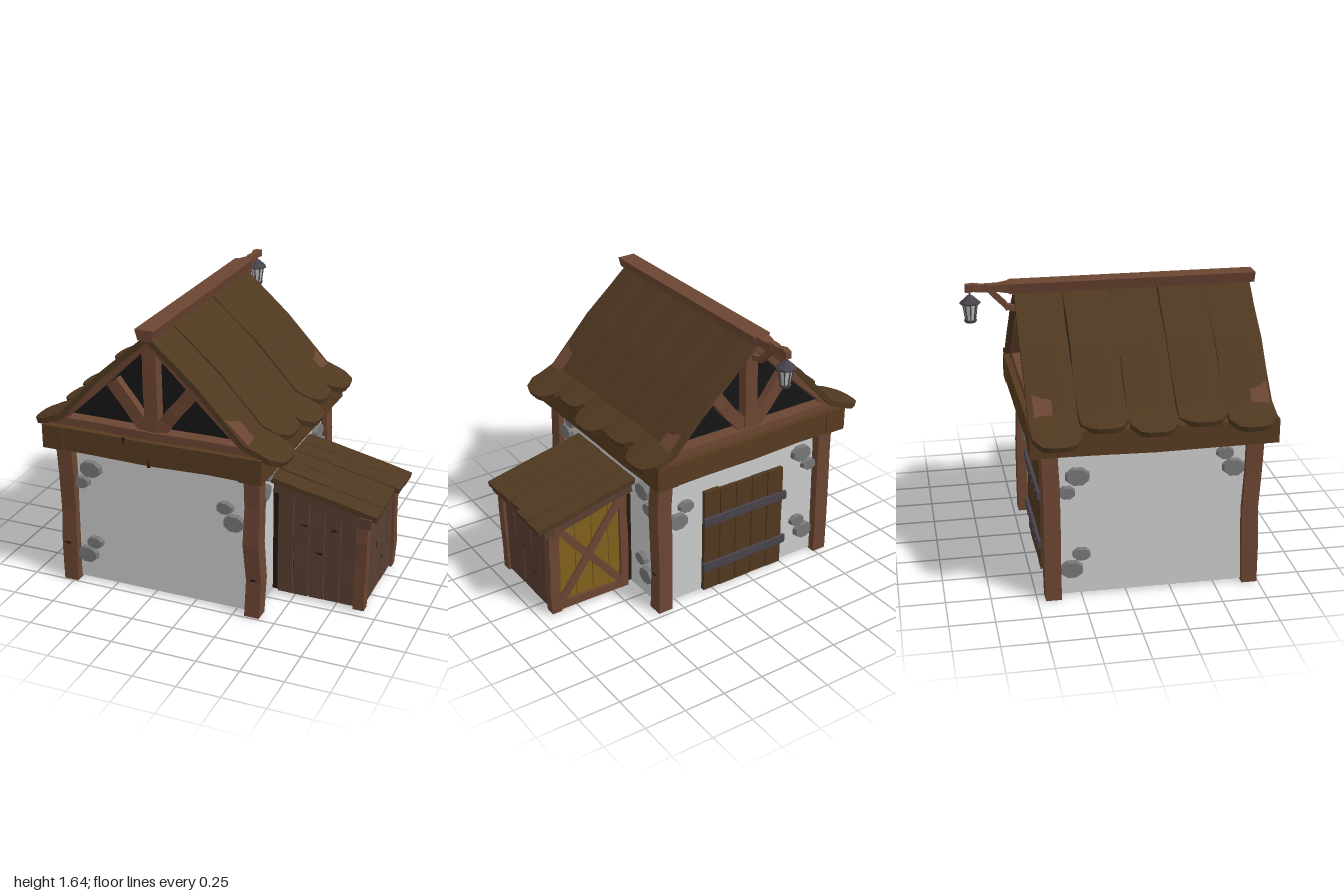
import * as THREE from 'three';

const mat = (color, extra = {}) => new THREE.MeshStandardMaterial({ color, flatShading: true, ...extra });
const M = {
  wall: mat(0xcccccc), stone: mat(0x777777), post: mat(0x6b4532), beam: mat(0x573a20), roof: mat(0x4f3820),
  plank: mat(0x593e32), dark: mat(0x161616), yellow: mat(0x80601c), iron: mat(0x48424a), door: mat(0x50381f),
  glass: mat(0xbbbbbb), crack: mat(0x24170e),
};
const CX = -0.21, CZ = 0.145; // centre of the main house

let seed = 7;
const rnd = () => { seed = (seed * 16807) % 2147483647; return seed / 2147483647 - 0.5; };

export function createModel() {
  const root = new THREE.Group();
  root.name = 'cottage';

  const add = (name, geo, material, x = 0, y = 0, z = 0, parent = root) => {
    const m = new THREE.Mesh(geo, material);
    m.name = name;
    m.position.set(x, y, z);
    parent.add(m);
    return m;
  };
  const box = (name, material, x0, x1, y0, y1, z0, z1) =>
    add(name, new THREE.BoxGeometry(x1 - x0, y1 - y0, z1 - z0), material, (x0 + x1) / 2, (y0 + y1) / 2, (z0 + z1) / 2);

  // Hewn timber from a to b, each ring of corners nudged a little
  const timber = (name, a, b, w, d, material, wobble = 0.008) => {
    const A = new THREE.Vector3(...a), B = new THREE.Vector3(...b);
    const len = A.distanceTo(B), n = 4;
    const g = new THREE.BoxGeometry(w, len, d, 1, n, 1), p = g.attributes.position;
    const rings = Array.from({ length: n + 1 }, () => [rnd() * 2 * wobble, rnd() * 2 * wobble, 1 + rnd() * wobble * 8]);
    for (let i = 0; i < p.count; i++) {
      const [dx, dz, s] = rings[Math.round((p.getY(i) / len + 0.5) * n)];
      p.setX(i, p.getX(i) * s + dx);
      p.setZ(i, p.getZ(i) * s + dz);
    }
    g.computeVertexNormals();
    const m = add(name, g, material);
    m.position.copy(A).add(B).multiplyScalar(0.5);
    m.quaternion.setFromUnitVectors(new THREE.Vector3(0, 1, 0), B.sub(A).normalize());
    return m;
  };

  // Walls and corner posts
  box('walls', M.wall, -0.78, 0.365, 0.012, 0.96, -0.41, 0.69);
  for (const x of [-0.775, 0.36]) for (const z of [-0.42, 0.695])
    timber('cornerPost', [x, 0, z], [x, 0.9, z], 0.09, 0.09, M.post, 0.011);

  // Ring of beams on top of the walls
  for (const z of [-0.455, 0.745]) timber('endBeam', [-0.86, 0.934, z], [0.445, 0.934, z], 0.135, 0.14, M.beam, 0.006);
  for (const x of [-0.79, 0.38]) timber('sideBeam', [x, 0.932, -0.53], [x, 0.932, 0.82], 0.13, 0.14, M.beam, 0.006);

  // Dark attic with timber trusses at both gables
  const tri = new THREE.Shape([[-0.57, 0.99], [0.57, 0.99], [0, 1.57]].map(([x, y]) => new THREE.Vector2(x, y)));
  add('attic', new THREE.ExtrudeGeometry(tri, { depth: 1.11, bevelEnabled: false }), M.dark, CX, 0, -0.41);
  for (const z of [-0.445, 0.735]) {
    timber('tieBeam', [CX - 0.57, 1.02, z], [CX + 0.57, 1.02, z], 0.055, 0.09, M.post, 0.003);
    timber('kingPost', [CX, 1.02, z], [CX, 1.57, z], 0.08, 0.07, M.post, 0.004);
    for (const s of [-1, 1]) {
      timber('rafter', [CX + s * 0.59, 1.01, z], [CX, 1.575, z], 0.055, 0.1, M.post, 0.003);
      timber('strut', [CX + s * 0.03, 1.04, z], [CX + s * 0.235, 1.3, z], 0.075, 0.05, M.post, 0.004);
    }
  }

  // Roof planks: a slab bent down the slope, with a flared eave and clipped corners
  const profile = [[0, 1.61], [0.3, 1.345], [0.55, 1.075], [0.85, 0.955]];
  const height = (d) => {
    const i = d < 0.3 ? 0 : d < 0.55 ? 1 : 2;
    const [a, b] = [profile[i], profile[i + 1]];
    return a[1] + (b[1] - a[1]) * (d - a[0]) / (b[0] - a[0]);
  };
  const roofPlank = (end, z, side, lift) => {
    const w = 0.262, stations = [0, 0.15, 0.3, 0.43, 0.55, 0.64, end];
    const g = new THREE.BoxGeometry(6, 1, 2, 6, 1, 6), p = g.attributes.position;
    const waves = stations.map(() => rnd() * 0.008);
    for (let i = 0; i < p.count; i++) {
      const k = Math.round(p.getX(i) + 3), v = p.getZ(i), top = p.getY(i) > 0;
      const d = stations[k] - (k === 6 ? 0.075 * Math.abs(v) ** 4 : 0);
      const y = height(d) + lift + 0.006 * (1 - v * v) - (top ? 0 : 0.032);
      p.setXYZ(i, d - (top ? 0 : 0.012), y, v * w / 2 + waves[k]);
    }
    g.computeVertexNormals();
    const m = add('roofPlank', g, M.roof, CX, 0, z);
    if (side < 0) m.rotation.y = Math.PI;
  };
  const leftEnds = [0.74, 0.70, 0.75, 0.70, 0.77], rightEnds = [0.79, 0.69, 0.73, 0.69, 0.74];
  for (let i = 0; i < 5; i++) {
    const z = -0.395 + i * 0.266;
    roofPlank(leftEnds[i], z, 1, (i % 2) * 0.006);
    roofPlank(rightEnds[i], z, -1, (i % 2) * 0.006);
  }

  // Ridge beam, wider on top, tapering into the lantern arm
  const ridge = new THREE.Shape([[-0.038, 1.585], [0.038, 1.585], [0.055, 1.645], [-0.055, 1.645]].map(([x, y]) => new THREE.Vector2(x, y)));
  add('ridgeBeam', new THREE.ExtrudeGeometry(ridge, { depth: 1.375, bevelEnabled: false }), M.post, CX, 0, -0.55);
  const taper = new THREE.CylinderGeometry(0.028, 0.06, 0.12, 4, 1, false, Math.PI / 4);
  add('armTaper', taper, M.post, CX, 1.617, -0.6).rotation.x = -Math.PI / 2;
  taper.scale(1, 1, 0.65);
  timber('lanternArm', [CX, 1.62, -0.62], [CX, 1.62, -0.79], 0.036, 0.042, M.post, 0.004);
  timber('armBrace', [CX, 1.49, -0.49], [CX, 1.505, -0.565], 0.035, 0.03, M.post, 0.002);
  timber('armBrace', [CX, 1.495, -0.555], [CX, 1.61, -0.66], 0.035, 0.03, M.post, 0.002);

  // Hanging lantern
  const lantern = new THREE.Group();
  lantern.name = 'lantern';
  lantern.position.set(CX, 0, -0.765);
  root.add(lantern);
  const disc = (name, top, bottom, y0, y1, material) =>
    add(name, new THREE.CylinderGeometry(top, bottom, y1 - y0, 8), material, 0, (y0 + y1) / 2, 0, lantern);
  disc('lanternBase', 0.036, 0.032, 1.428, 1.442, M.iron);
  disc('lanternGlass', 0.04, 0.026, 1.442, 1.535, M.glass);
  disc('lanternRim', 0.057, 0.057, 1.533, 1.542, M.iron);
  disc('lanternCap', 0.016, 0.055, 1.542, 1.578, M.iron);
  disc('lanternHook', 0.006, 0.006, 1.575, 1.61, M.iron);
  for (let i = 0; i < 8; i++) {
    const pivot = new THREE.Group();
    pivot.rotation.y = i * Math.PI / 4;
    lantern.add(pivot);
    add('lanternBar', new THREE.BoxGeometry(0.006, 0.096, 0.006), M.iron, 0, 1.488, 0.034, pivot).rotation.x = 0.15;
  }

  // Stones set in each wall: along the wall, up, width, height
  const stone = (x, y, z, w, h, turn) => {
    const g = new THREE.CylinderGeometry(0.46, 0.54, 1, 8, 1, false, Math.PI / 8).rotateX(Math.PI / 2);
    const m = add('stone', g, M.stone, x, y, z);
    m.scale.set(w, h, 0.05);
    m.rotation.y = turn;
  };
  const endStones = [[-0.63, 0.72, 0.14, 0.105], [-0.69, 0.63, 0.105, 0.075], [0.19, 0.635, 0.105, 0.075],
    [0.245, 0.55, 0.135, 0.105], [-0.62, 0.255, 0.105, 0.075], [-0.67, 0.17, 0.13, 0.105]];
  for (const [x, y, w, h] of endStones) {
    stone(x, y, 0.695, w, h, 0);
    stone(x, y, -0.415, w, h, Math.PI);
  }
  const sideStones = [[0.54, 0.8, 0.1, 0.075], [0.59, 0.71, 0.13, 0.105], [-0.27, 0.72, 0.14, 0.105],
    [-0.33, 0.63, 0.1, 0.075], [-0.25, 0.255, 0.105, 0.075], [-0.305, 0.165, 0.135, 0.105]];
  for (const [z, y, w, h] of sideStones) {
    stone(0.37, y, z, w, h, Math.PI / 2);
    stone(-0.785, y, z, w, h, -Math.PI / 2);
  }

  // Plank door with iron straps in the back wall
  box('doorBacking', M.crack, -0.48, 0.06, 0.02, 0.67, -0.418, -0.4);
  for (let i = 0; i < 5; i++) {
    const x = -0.435 + i * 0.1125;
    timber('doorPlank', [x, 0.015, -0.425], [x, 0.68 + rnd() * 0.02, -0.425], 0.107, 0.025, M.door, 0.002);
  }
  for (const y of [0.18, 0.49]) {
    timber('doorStrap', [-0.51, y, -0.445], [0.08, y, -0.445], 0.05, 0.02, M.iron, 0.003);
    for (let i = 0; i < 5; i++) add('strapBolt', new THREE.IcosahedronGeometry(0.01), M.iron, -0.435 + i * 0.1125, y, -0.457);
  }

  // Lean-to shed: dark core under a sloping top
  const slope = (x) => 0.735 - (x - 0.38) * 0.22;
  const core = new THREE.Shape([[0.36, 0.02], [0.89, 0.02], [0.89, slope(0.89) - 0.03], [0.36, slope(0.36) - 0.03]].map(([x, y]) => new THREE.Vector2(x, y)));
  add('shedCore', new THREE.ExtrudeGeometry(core, { depth: 0.53, bevelEnabled: false }), M.crack, 0, 0, -0.11);
  for (let i = 0; i < 5; i++) {
    const x = 0.445 + i * 0.093, z = -0.045 + i * 0.1;
    timber('shedFrontPlank', [x, 0.02, 0.425], [x, slope(x) - 0.05, 0.425], 0.088, 0.025, M.plank, 0.002);
    timber('shedSidePlank', [0.897, 0.02, z], [0.897, 0.57, z], 0.025, 0.096, M.plank, 0.002);
  }
  for (const z of [-0.12, 0.43]) {
    timber('shedPost', [0.895, 0.01, z], [0.895, 0.58, z], 0.065, 0.06, M.post, 0.006);
    timber('shedRail', [0.38, slope(0.38) - 0.05, z], [0.95, slope(0.95) - 0.05, z], 0.055, 0.06, M.plank, 0.003);
  }
  timber('shedHeader', [0.92, 0.57, -0.16], [0.92, 0.57, 0.48], 0.07, 0.06, M.plank, 0.003);

  // Shed back: yellow boards in a frame with crossed braces
  for (let i = 0; i < 4; i++) {
    const x = 0.475 + i * 0.11;
    timber('hatchBoard', [x, 0.04, -0.115], [x, slope(x) - 0.07, -0.115], 0.105, 0.02, M.yellow, 0.001);
  }
  timber('hatchPost', [0.435, 0.02, -0.125], [0.435, 0.67, -0.125], 0.05, 0.04, M.post, 0.004);
  timber('hatchSill', [0.41, 0.045, -0.125], [0.89, 0.045, -0.125], 0.05, 0.04, M.post, 0.003);
  timber('hatchBrace', [0.45, 0.06, -0.13], [0.87, 0.57, -0.13], 0.045, 0.025, M.post, 0.003);
  timber('hatchBrace', [0.45, 0.63, -0.132], [0.87, 0.06, -0.132], 0.045, 0.025, M.post, 0.003);

  // Shed roof boards
  for (let i = 0; i < 5; i++) {
    const z = -0.104 + i * 0.128, end = 0.985 + rnd() * 0.03;
    timber('shedRoofBoard', [0.36, slope(0.36) - 0.005, z], [end, slope(end) - 0.005 + rnd() * 0.008, z], 0.032, 0.123, M.roof, 0.002);
  }

  // Splits in the wood: small dark wedges, [x, y, z, turn about y, tilt]
  const splits = [[-0.21, 0.88, 0.817, 0, 0], [-0.36, 0.985, 0.817, 0, Math.PI], [0.55, 0.47, 0.438, 0, 1.5], [0.74, 0.47, 0.438, 0, -1.5],
    [0.64, 0.31, 0.438, 0, 1.5], [-0.79, 0.24, 0.742, 0, 1.5], [0.38, 0.24, 0.742, 0, -1.5], [0.91, 0.31, 0.2, Math.PI / 2, 0],
    [0.91, 0.17, 0.1, Math.PI / 2, 1.5], [0.407, 0.24, 0.7, Math.PI / 2, 1.5], [0.407, 0.25, -0.43, Math.PI / 2, -1.5]];
  for (const [x, y, z, turn, tilt] of splits)
    add('woodSplit', new THREE.ConeGeometry(0.012, 0.05, 3).scale(1, 1, 0.4), M.crack, x, y, z).rotation.set(0, turn, tilt);

  return root;
}
